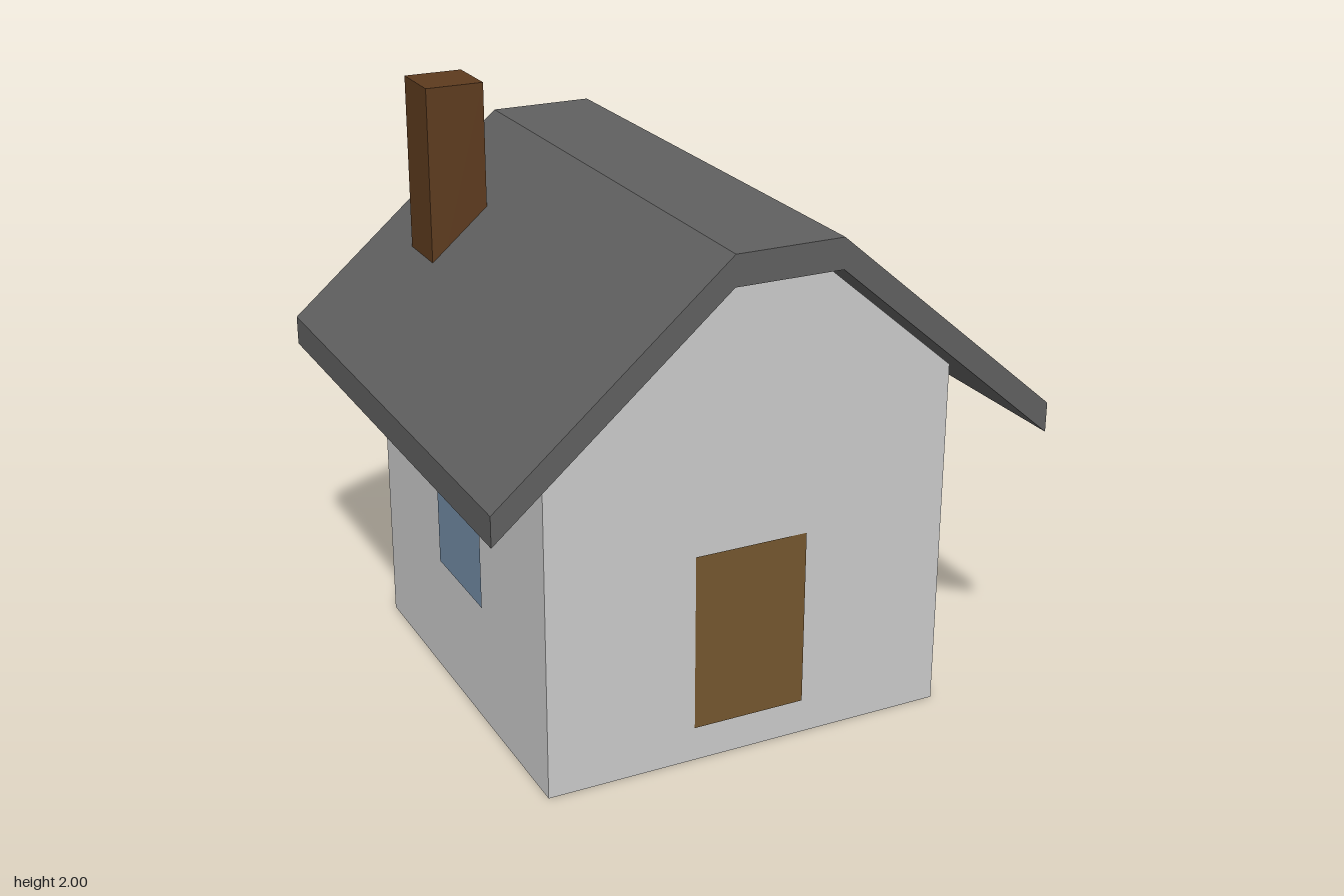
import * as THREE from 'three';

const material = (color) => new THREE.MeshStandardMaterial({ color, flatShading: true });

export function createModel() {
  const house = new THREE.Group();
  house.name = 'house';

  const wallMat = material(0xcccccc);
  const roofMat = material(0x606060);
  const chimneyMat = material(0x5d3b1e);
  const doorMat = material(0x75572f);
  const glassMat = material(0x738ca5);

  const add = (name, geometry, mat, x = 0, y = 0, z = 0, turn = 0) => {
    const mesh = new THREE.Mesh(geometry, mat);
    mesh.name = name;
    mesh.position.set(x, y, z);
    mesh.rotation.y = turn;
    house.add(mesh);
    return mesh;
  };

  // Gable outline given for the +x half, mirrored and extruded along z
  const prism = (half, depth) => {
    const mirrored = half.map(([x, y]) => [-x, y]).reverse();
    const shape = new THREE.Shape([...half, ...mirrored].map(([x, y]) => new THREE.Vector2(x, y)));
    const geometry = new THREE.ExtrudeGeometry(shape, { depth, bevelEnabled: false });
    return geometry.translate(0, 0, -depth / 2);
  };

  // Walls with clipped gables
  add('walls', prism([[0.707, 0], [0.707, 1.215], [0.18, 1.665]], 1.414), wallMat);

  // Overhanging roof of even vertical thickness
  add('roof', prism([[0.18, 1.672], [0.95, 1.012], [0.95, 1.112], [0.18, 1.772]], 1.814), roofMat);

  // Chimney, rising through the left-hand slope
  add('chimney', new THREE.BoxGeometry(0.2, 0.75, 0.2), chimneyMat, -0.508, 1.625, -0.528);

  // Door and windows lie flat on the walls
  const face = 0.711;
  add('door', new THREE.PlaneGeometry(0.394, 0.61), doorMat, 0, 0.425, face);

  const pane = new THREE.PlaneGeometry(0.38, 0.305);
  for (const side of [-1, 1]) {
    add('sideWindow', pane, glassMat, side * face, 0.577, 0, side * Math.PI / 2);
    add('backWindow', pane, glassMat, side * 0.39, 0.577, -face, Math.PI);
  }

  return house;
}
